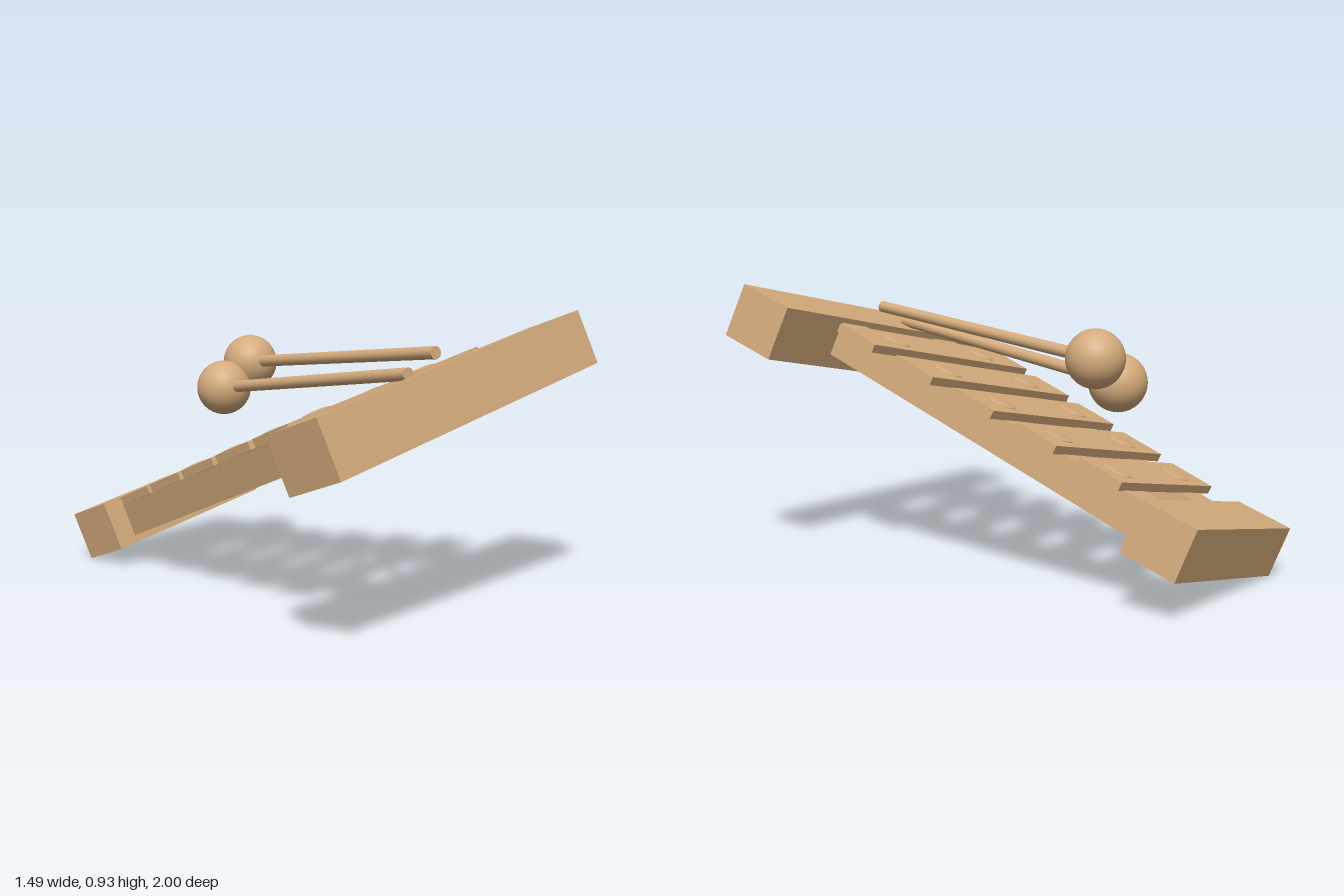
import * as THREE from 'three';

export function createModel() {
  const wood = new THREE.MeshStandardMaterial({ color: 0xd4ab7c });
  wood.name = 'lightWood';

  const model = new THREE.Group();
  model.name = 'xylophone';

  const add = (parent, name, geometry, x, y, z) => {
    const mesh = new THREE.Mesh(geometry, wood);
    mesh.name = name;
    mesh.position.set(x, y, z);
    parent.add(mesh);
    return mesh;
  };

  // Instrument, tilted in space; its own x runs along the bars, z from narrow to wide end
  const body = new THREE.Group();
  body.name = 'instrument';
  const ex = new THREE.Vector3(0.881, 0.181, -0.437).normalize();
  const ez = ex.clone().cross(new THREE.Vector3(-0.3, 0.929, -0.219)).normalize();
  const ey = ez.clone().cross(ex);
  body.quaternion.setFromRotationMatrix(new THREE.Matrix4().makeBasis(ex, ey, ez));
  body.position.set(-0.378, 0.18, -0.746);
  model.add(body);

  // End beams
  add(body, 'narrowEndBeam', new THREE.BoxGeometry(0.69, 0.172, 0.197), 0, 0, 0);
  add(body, 'wideEndBeam', new THREE.BoxGeometry(1.271, 0.183, 0.213), -0.061, 0.041, 1.529);

  // Splayed rails between the end beams
  const railX = (side, z) => {
    const t = (z - 0.1) / 1.31;
    return side > 0 ? 0.17 + 0.045 * t : -0.2 - 0.12 * t;
  };
  const slope = 0.044;
  for (const side of [-1, 1]) {
    const z0 = 0.06, z1 = 1.45;
    const dx = railX(side, z1) - railX(side, z0);
    const rail = add(body, side > 0 ? 'leftRail' : 'rightRail',
      new THREE.BoxGeometry(0.138, 0.117, z1 - z0),
      railX(side, (z0 + z1) / 2), 0.027, (z0 + z1) / 2);
    rail.rotation.order = 'YXZ';
    rail.rotation.set(-slope, Math.atan2(dx, z1 - z0), 0);
  }

  // Sounding slats, growing toward the wide end, each with two shallow pegs
  const pegGeometry = new THREE.SphereGeometry(0.05, 24, 12);
  pegGeometry.scale(1, 0.14, 1);
  for (let i = 0; i < 5; i++) {
    const z = 0.294 + 0.2355 * i;
    const slat = new THREE.Group();
    slat.name = `slat${i + 1}`;
    slat.position.set(-0.034 - 0.0025 * i, 0.092 + 0.0104 * i, z);
    slat.rotation.x = -slope;
    body.add(slat);
    add(slat, 'slatBoard', new THREE.BoxGeometry(0.63 + 0.075 * i, 0.028, 0.165), 0, -0.014, 0);
    for (const side of [-1, 1]) {
      add(slat, 'peg', pegGeometry, railX(side, z) - slat.position.x, 0, 0);
    }
  }

  // Mallets lying across the top
  const mallets = [
    [[-0.145, 0.725, -0.455], [0.1, 0.83, 0.568]],
    [[-0.255, 0.64, -0.42], [-0.002, 0.772, 0.595]],
  ];
  mallets.forEach(([head, tip], i) => {
    const mallet = new THREE.Group();
    mallet.name = `mallet${i + 1}`;
    model.add(mallet);
    add(mallet, 'malletHead', new THREE.SphereGeometry(0.095, 32, 20), ...head);
    const a = new THREE.Vector3(...head), b = new THREE.Vector3(...tip);
    const dir = b.clone().sub(a);
    const mid = a.clone().add(b).multiplyScalar(0.5);
    const handle = add(mallet, 'malletHandle',
      new THREE.CylinderGeometry(0.02, 0.02, dir.length(), 20), mid.x, mid.y, mid.z);
    handle.quaternion.setFromUnitVectors(new THREE.Vector3(0, 1, 0), dir.normalize());
  });

  return model;
}
